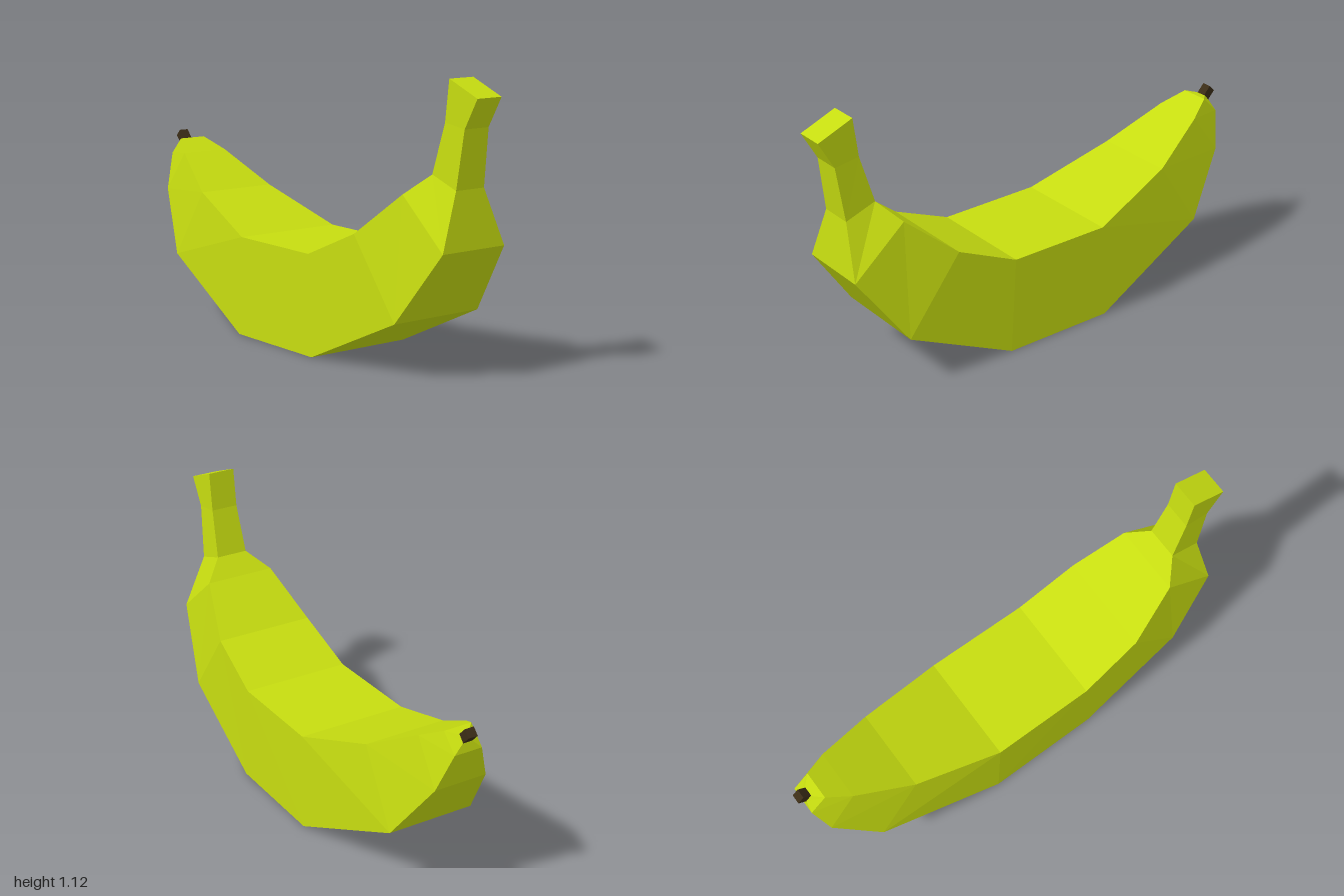
import * as THREE from 'three';

// Four-sided loft: each ring is [zTop, yTop, halfWidthTop, zBottom, yBottom, halfWidthBottom],
// ordered from front to back, with both ends capped.
function loft(name, rings, color) {
  const loops = rings.map(([zt, yt, wt, zb, yb, wb]) => [
    [-wt, yt, zt], [wt, yt, zt], [wb, yb, zb], [-wb, yb, zb],
  ]);
  const pos = [];
  const quad = (a, b, c, d) => pos.push(...a, ...b, ...c, ...a, ...c, ...d);
  for (let r = 0; r < loops.length - 1; r++) {
    const a = loops[r], b = loops[r + 1];
    for (let i = 0; i < 4; i++) {
      const j = (i + 1) % 4;
      // mirrored diagonals keep left and right sides alike
      if (i === 3) quad(a[j], b[j], b[i], a[i]);
      else quad(a[i], a[j], b[j], b[i]);
    }
  }
  const first = loops[0], last = loops[loops.length - 1];
  quad(first[3], first[2], first[1], first[0]);
  quad(...last);

  const geometry = new THREE.BufferGeometry();
  geometry.setAttribute('position', new THREE.Float32BufferAttribute(pos, 3));
  geometry.computeVertexNormals();
  const mesh = new THREE.Mesh(geometry, new THREE.MeshStandardMaterial({ color, flatShading: true }));
  mesh.name = name;
  return mesh;
}

export function createModel() {
  const group = new THREE.Group();
  group.name = 'banana';

  // Stem, curved body and tapered end in one skin
  group.add(loft('peel', [
    [0.85, 1.12, 0.058, 1.0, 1.06, 0.058],
    [0.83, 0.96, 0.058, 0.935, 0.945, 0.058],
    [0.775, 0.765, 0.068, 0.905, 0.72, 0.068],
    [0.705, 0.69, 0.15, 0.93, 0.5, 0.15],
    [0.5, 0.52, 0.213, 0.73, 0.215, 0.206],
    [0.24, 0.405, 0.23, 0.265, 0, 0.233],
    [-0.2, 0.405, 0.233, -0.215, 0, 0.238],
    [-0.57, 0.535, 0.175, -0.755, 0.245, 0.185],
    [-0.81, 0.67, 0.105, -0.935, 0.5, 0.113],
    [-0.905, 0.72, 0.06, -0.975, 0.65, 0.06],
    [-0.945, 0.713, 0.02, -0.968, 0.688, 0.02],
  ], 0xc6dc10));

  // Dark blossom tip
  group.add(loft('blossomTip', [
    [-0.935, 0.705, 0.02, -0.962, 0.68, 0.02],
    [-0.974, 0.748, 0.02, -1.0, 0.722, 0.02],
  ], 0x3a2c16));

  return group;
}
